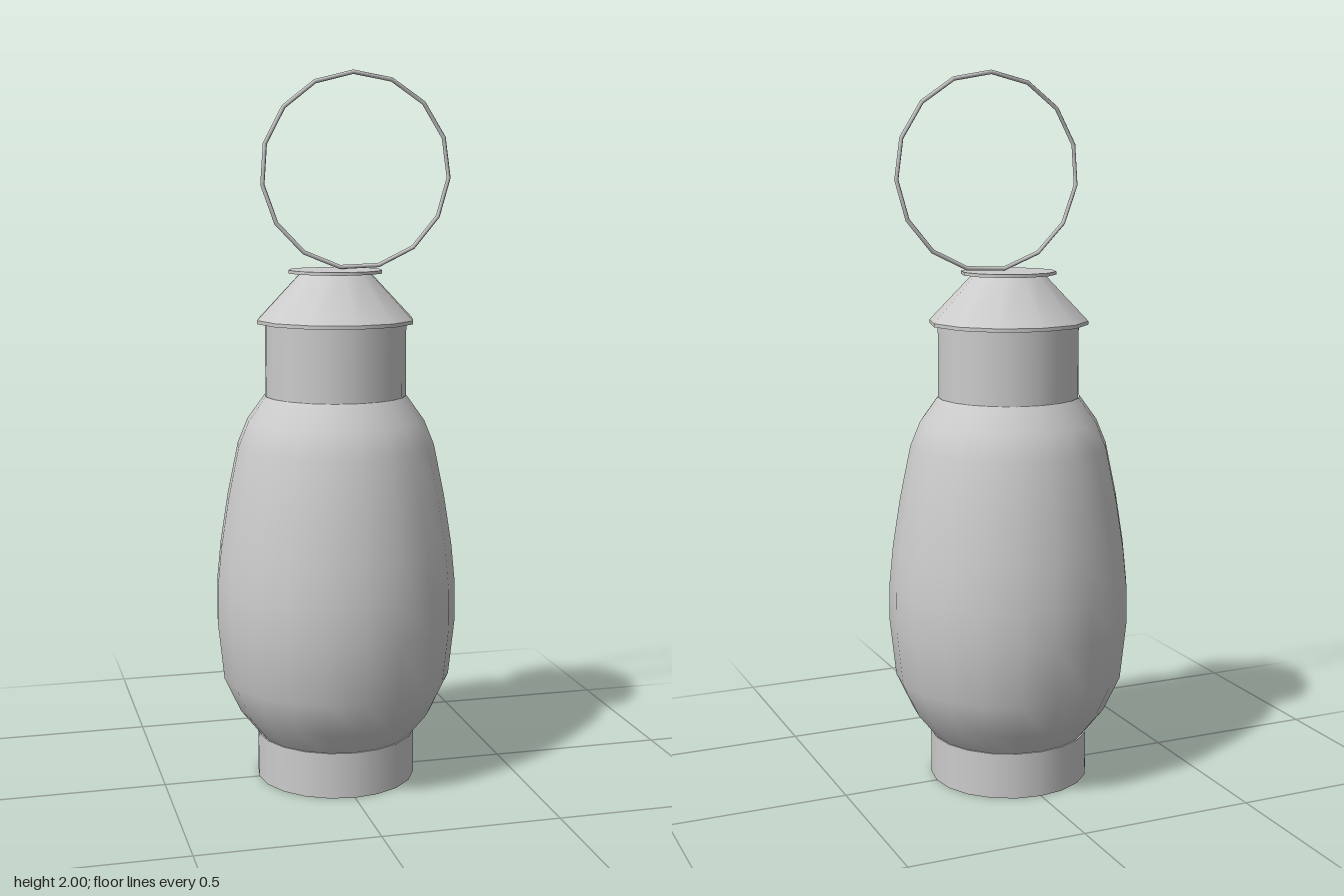
import * as THREE from 'three';

const material = new THREE.MeshStandardMaterial({ color: 0xcccccc });

export function createModel() {
  const group = new THREE.Group();
  const add = (name, geometry, x = 0, y = 0) => {
    const mesh = new THREE.Mesh(geometry, material);
    mesh.name = name;
    mesh.position.set(x, y, 0);
    group.add(mesh);
    return mesh;
  };
  // Capped round section standing between two heights
  const drum = (name, rTop, rBottom, y0, y1, sides) =>
    add(name, new THREE.CylinderGeometry(rTop, rBottom, y1 - y0, sides), 0, (y0 + y1) / 2);

  drum('base', 0.226, 0.226, 0, 0.13, 20);

  // Bulging glass body
  const profile = [
    [0.222, 0.13], [0.278, 0.2], [0.325, 0.3], [0.342, 0.46], [0.341, 0.57],
    [0.33, 0.68], [0.308, 0.82], [0.278, 0.966], [0.25, 1.035], [0.2, 1.105],
  ].map(([r, y]) => new THREE.Vector2(r, y));
  add('glassBody', new THREE.LatheGeometry(profile, 20));

  drum('collar', 0.198, 0.198, 1.1, 1.312, 20);

  // Sloping roof with a thin rim and a flat cap
  drum('roofRim', 0.223, 0.223, 1.308, 1.318, 12);
  drum('roof', 0.1, 0.223, 1.318, 1.447, 12);
  drum('cap', 0.133, 0.133, 1.446, 1.455, 12);

  // Carrying ring, set slightly off centre
  const ring = add('carryRing', new THREE.TorusGeometry(0.268, 0.006, 6, 15), 0.06, 1.726);
  ring.rotation.z = THREE.MathUtils.degToRad(-4);

  return group;
}
